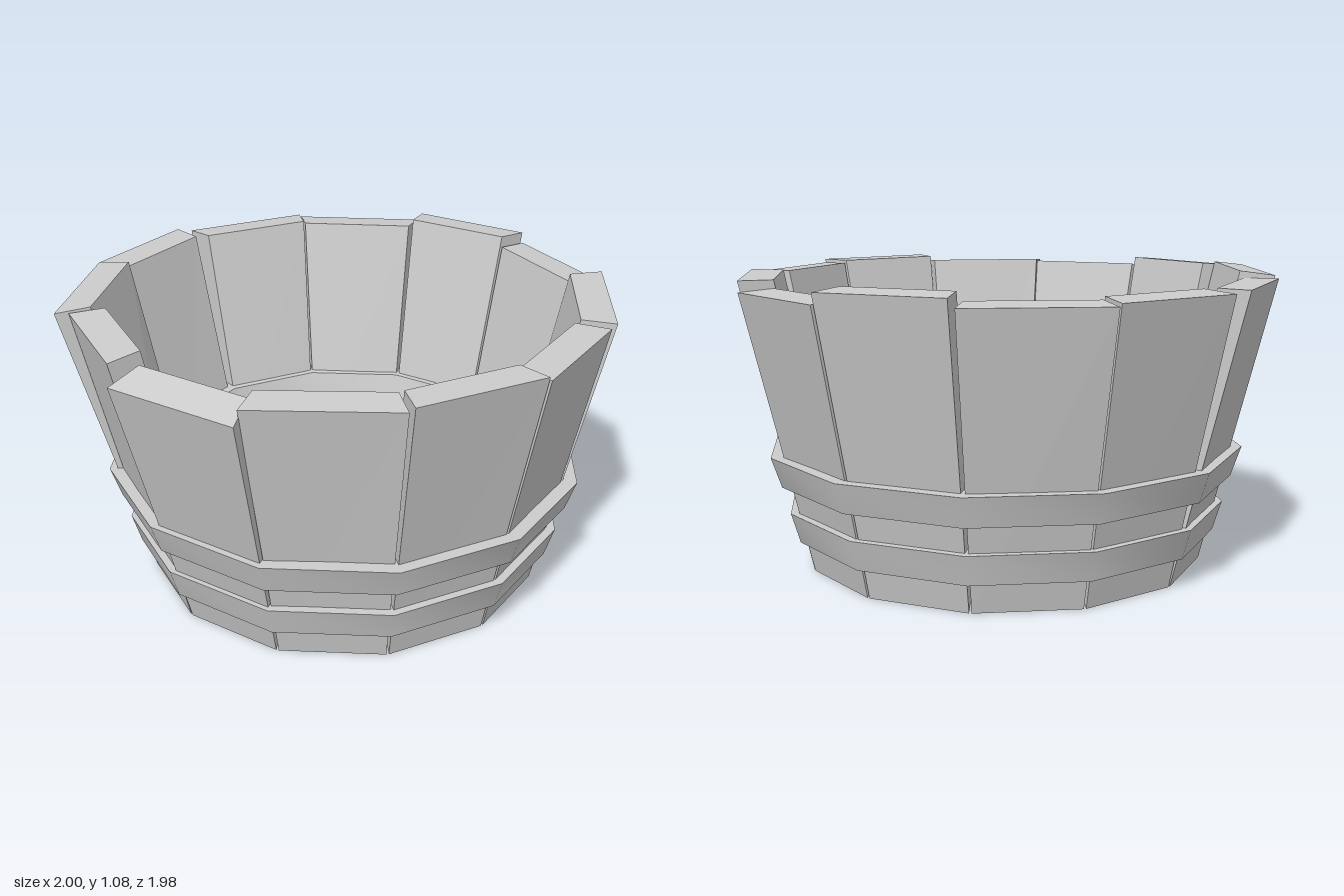
import * as THREE from 'three';
import { toCreasedNormals } from 'three/addons/utils/BufferGeometryUtils.js';

const material = new THREE.MeshStandardMaterial({ color: 0xcccccc });
const flatMaterial = new THREE.MeshStandardMaterial({ color: 0xcccccc, flatShading: true });
const CX = 0.015, CZ = 0.01; // centre of the base and hoops

// Top outer corners of each stave: x, z, x, z, then outer and inner top height
const STAVES = [
  [0.0, 0.985, 0.47, 0.85, 1.05, 1.055],
  [0.5, 0.85, 0.87, 0.49, 1.06, 1.06],
  [0.87, 0.49, 0.99, 0.0, 1.02, 1.03],
  [0.995, -0.01, 0.87, -0.46, 1.06, 1.07],
  [0.86, -0.48, 0.52, -0.84, 1.03, 1.04],
  [0.51, -0.84, 0.04, -0.97, 1.04, 1.05],
  [-0.01, -0.995, -0.47, -0.86, 1.05, 1.05],
  [-0.48, -0.84, -0.88, -0.49, 1.06, 1.075],
  [-0.84, -0.46, -0.97, -0.01, 1.06, 1.07],
  [-1.0, 0.03, -0.87, 0.51, 1.0, 1.04],
  [-0.84, 0.49, -0.47, 0.84, 1.04, 1.05],
  [-0.47, 0.865, -0.01, 0.985, 1.065, 1.065],
];

// Plank with a slanted foot, leaning outwards to its own top corners
function staveGeometry([ax, az, bx, bz, outerY, innerY], k) {
  const side = (x, z, angle) => {
    const foot = (r, y) => [CX + r * Math.sin(angle), y, CZ + r * Math.cos(angle)];
    const s = 1 - 0.125 / Math.hypot(x, z);
    return [foot(0.738, 0), [x, outerY, z], [x * s, innerY, z * s], foot(0.64, 0.09)];
  };
  const a = side(ax, az, k * Math.PI / 6 + 0.006);
  const b = side(bx, bz, (k + 1) * Math.PI / 6 - 0.006);
  const pos = [];
  const quad = (p, q, r, s) => pos.push(...p, ...q, ...r, ...p, ...r, ...s);
  for (let i = 0; i < 4; i++) {
    const j = (i + 1) % 4;
    quad(a[i], b[i], b[j], a[j]);
  }
  quad(a[0], a[1], a[2], a[3]);
  quad(b[3], b[2], b[1], b[0]);
  const geometry = new THREE.BufferGeometry();
  geometry.setAttribute('position', new THREE.Float32BufferAttribute(pos, 3));
  geometry.computeVertexNormals();
  return geometry;
}

// Twelve-sided sloping band, deep enough to form a ledge inside
function hoop(y0, y1, outer0, outer1, inner0, inner1) {
  const profile = [[inner0, y0], [outer0, y0], [outer1, y1], [inner1, y1], [inner0, y0]]
    .map(([r, y]) => new THREE.Vector2(r, y));
  const mesh = new THREE.Mesh(toCreasedNormals(new THREE.LatheGeometry(profile, 12), 0.6), material);
  mesh.position.set(CX, 0, CZ);
  mesh.name = 'hoop';
  return mesh;
}

export function createModel() {
  const tub = new THREE.Group();
  tub.name = 'woodenTub';

  // Staves
  const staves = new THREE.Group();
  staves.name = 'staves';
  STAVES.forEach((row, k) => {
    const stave = new THREE.Mesh(staveGeometry(row, k), flatMaterial);
    stave.name = 'stave';
    staves.add(stave);
  });
  tub.add(staves);

  // Hoops
  tub.add(hoop(0.32, 0.43, 0.848, 0.885, 0.66, 0.69));
  tub.add(hoop(0.11, 0.22, 0.787, 0.82, 0.63, 0.65));

  // Floor
  const floor = new THREE.Mesh(new THREE.CylinderGeometry(0.7, 0.695, 0.1, 12), flatMaterial);
  floor.position.set(CX, 0.085, CZ);
  floor.name = 'floor';
  tub.add(floor);

  return tub;
}
